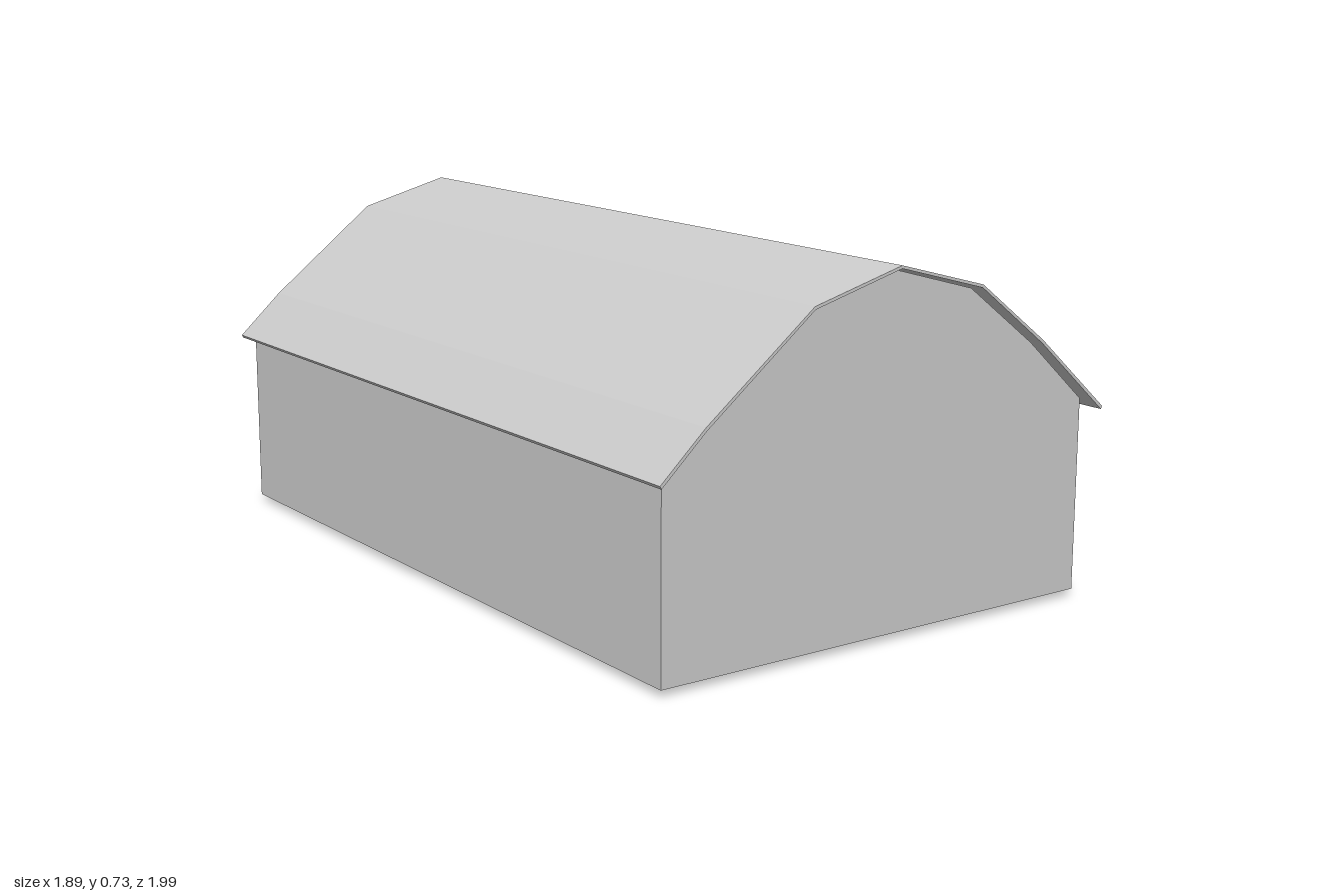
import * as THREE from 'three';

const material = new THREE.MeshStandardMaterial({ color: 0xcccccc, flatShading: true });

function addMesh(parent, geometry, name) {
  const mesh = new THREE.Mesh(geometry, material);
  mesh.name = name;
  parent.add(mesh);
  return mesh;
}

// Extrude an x/y outline from z0 to z1
function prism(points, z0, z1, hole) {
  const toVec = ([x, y]) => new THREE.Vector2(x, y);
  const shape = new THREE.Shape(points.map(toVec));
  if (hole) shape.holes.push(new THREE.Path(hole.map(toVec)));
  const g = new THREE.ExtrudeGeometry(shape, { depth: z1 - z0, bevelEnabled: false });
  return g.translate(0, 0, z0);
}

// Thin square bar between two points
function addBar(parent, a, b, name, size = 0.004) {
  const from = new THREE.Vector3(...a), to = new THREE.Vector3(...b);
  const bar = addMesh(parent, new THREE.BoxGeometry(size, size, from.distanceTo(to)), name);
  bar.position.copy(from).add(to).multiplyScalar(0.5);
  bar.lookAt(to);
}

export function createModel() {
  const model = new THREE.Group();
  model.name = 'barn';
  const barn = new THREE.Group();
  barn.name = 'barnBody';

  // Main hall with faceted gable outline
  const base = 0.015;
  const hall = [
    [-0.52, base], [0.508, base], [0.508, 0.412], [0.365, 0.541], [0.2, 0.665],
    [0, 0.72], [-0.2, 0.665], [-0.44, 0.475], [-0.52, 0.41],
  ];
  addMesh(barn, prism(hall, -0.79, 0.81), 'hall');

  // Back gable wall, pierced so the door sits recessed
  const doorway = [[-0.2, 0.02], [-0.2, 0.295], [0.21, 0.295], [0.21, 0.02]];
  addMesh(barn, prism(hall, -0.812, -0.79, doorway), 'backGableWall');

  // Thin overhanging roof sheet
  const roofTop = [
    [-0.543, 0.397], [-0.445, 0.487], [-0.205, 0.675], [0, 0.73],
    [0.205, 0.675], [0.37, 0.55], [0.543, 0.397],
  ];
  const roofUnder = roofTop.map(([x, y]) => [x * 0.994, y - 0.006]).reverse();
  addMesh(barn, prism([...roofTop, ...roofUnder], -0.838, 0.838), 'roof');

  // Side landing and ramp: outline along z, extruded across x
  const inner = 0.505, outer = 0.655;
  const landing = [[-0.05, base], [-0.05, 0.215], [0.05, 0.215], [0.05, base]];
  const ramp = [[-0.33, base], [-0.05, 0.215], [-0.05, base]];
  for (const [outline, name] of [[landing, 'landing'], [ramp, 'ramp']]) {
    const g = prism(outline.map(([z, y]) => [-z, y]), inner, outer).rotateY(Math.PI / 2);
    addMesh(barn, g, name);
  }

  // Handrails along the outer side and the end of the landing
  const railing = new THREE.Group();
  railing.name = 'railing';
  barn.add(railing);
  const rx = outer - 0.002, end = 0.048;
  for (const h of [0.03, 0.056]) {
    addBar(railing, [inner, 0.215 + h, end], [rx, 0.215 + h, end], 'endRail');
    addBar(railing, [rx, 0.215 + h, end], [rx, 0.215 + h, -0.05], 'landingRail');
    addBar(railing, [rx, 0.215 + h, -0.05], [rx, base + h, -0.33], 'rampRail');
  }
  for (const [x, z, y0, y1] of [
    [inner + 0.01, end, 0.21, 0.272], [rx, end, 0.21, 0.272], [rx, -0.05, 0.21, 0.272],
    [rx, -0.33, 0, 0.072], [0.6, end, 0.21, 0.32],
  ]) addBar(railing, [x, y0, z], [x, y1, z], 'railPost');

  // The building stands diagonally
  barn.rotation.y = 0.66;
  model.add(barn);
  return model;
}
